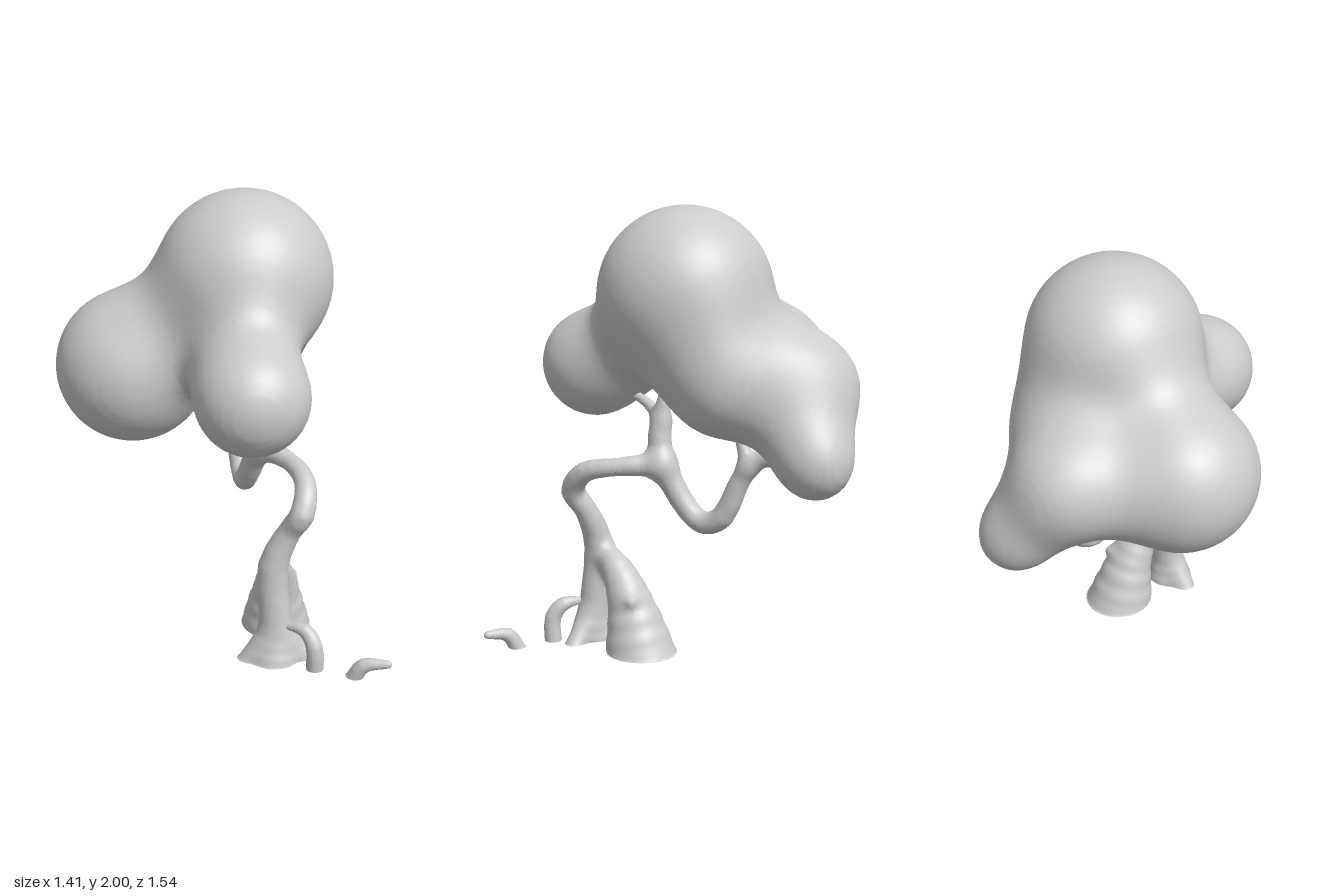
import * as THREE from 'three';

// A path is a list of [x, y, z, radius]; it is rounded into short tapered segments.
// A lone point is a ball.
function toCones(path) {
  if (path.length === 1) return [[path[0], path[0]]];
  const curve = new THREE.CatmullRomCurve3(path.map((p) => new THREE.Vector3(p[0], p[1], p[2])));
  const spans = path.length - 1, total = spans * 3;
  const points = Array.from({ length: total + 1 }, (_, i) => {
    const s = Math.min(spans - 1, Math.floor(i / 3));
    const radius = THREE.MathUtils.lerp(path[s][3], path[s + 1][3], i / 3 - s);
    return [...curve.getPoint(i / total).toArray(), radius];
  });
  return points.slice(1).map((p, i) => [points[i], p]);
}

// Distance to a tapered, round-ended segment
function coneDistance([a, b], x, y, z) {
  const dx = b[0] - a[0], dy = b[1] - a[1], dz = b[2] - a[2];
  const px = x - a[0], py = y - a[1], pz = z - a[2];
  const len = dx * dx + dy * dy + dz * dz;
  const t = len ? Math.min(1, Math.max(0, (px * dx + py * dy + pz * dz) / len)) : 0;
  const qx = px - dx * t, qy = py - dy * t, qz = pz - dz * t;
  return Math.sqrt(qx * qx + qy * qy + qz * qz) - (a[3] + (b[3] - a[3]) * t);
}

// Melts all the paths into one smooth skin, left open where it meets the ground
function meltedGeometry(paths, blend, step) {
  const limbs = paths.map(toCones), pts = limbs.flat(2);
  const field = (x, y, z) => {
    let d = 10;
    for (const limb of limbs) {
      let e = 10;
      for (const cone of limb) e = Math.min(e, coneDistance(cone, x, y, z));
      const h = Math.max(0, blend - Math.abs(d - e)) / blend;
      d = Math.min(d, e) - h * h * blend / 4;
    }
    return d;
  };
  // sampling grid
  const axes = [0, 1, 2];
  const margin = blend / 2 + 2 * step;
  const lo = axes.map((k) => Math.min(...pts.map((p) => p[k] - p[3])) - margin);
  const hi = axes.map((k) => Math.max(...pts.map((p) => p[k] + p[3])) + margin);
  lo[1] = Math.max(lo[1], -step);
  const n = lo.map((v, k) => Math.ceil((hi[k] - v) / step) + 1);
  const stride = [1, n[0], n[0] * n[1]];
  const values = new Float32Array(n[0] * n[1] * n[2]);
  const eachNode = (visit) => {
    for (let k = 0, id = 0; k < n[2]; k++)
      for (let j = 0; j < n[1]; j++)
        for (let i = 0; i < n[0]; i++, id++) visit([i, j, k], id);
  };
  eachNode((g, id) => {
    values[id] = field(lo[0] + g[0] * step, lo[1] + g[1] * step, lo[2] + g[2] * step);
  });

  // one vertex in every cell that the skin crosses
  const position = [], index = [], cellVertex = new Int32Array(values.length).fill(-1);
  const corners = Array.from({ length: 8 }, (_, c) => [c & 1, (c >> 1) & 1, c >> 2]);
  const offsets = corners.map((w) => w.reduce((s, v, k) => s + v * stride[k], 0));
  eachNode((g, id) => {
    if (g.some((v, k) => v >= n[k] - 1)) return;
    const sum = [0, 0, 0];
    let count = 0;
    for (let c = 0; c < 8; c++)
      for (let k = 0; k < 3; k++) {
        const d = c | (1 << k);
        if (d === c) continue;
        const u = values[id + offsets[c]], v = values[id + offsets[d]];
        if ((u < 0) === (v < 0)) continue;
        corners[c].forEach((w, m) => { sum[m] += w + (m === k ? u / (u - v) : 0); });
        count++;
      }
    if (!count) return;
    cellVertex[id] = position.length / 3;
    const p = sum.map((s, k) => lo[k] + (g[k] + s / count) * step);
    position.push(p[0], Math.max(0, p[1]), p[2]);
  });

  // one quad around every grid edge that the skin crosses
  eachNode((g, id) => {
    for (let a = 0; a < 3; a++) {
      const b = (a + 1) % 3, c = (a + 2) % 3;
      if (g[a] >= n[a] - 1 || g[b] < 1 || g[c] < 1) continue;
      const inside = values[id] < 0;
      if (inside === (values[id + stride[a]] < 0)) continue;
      const q = [id - stride[b] - stride[c], id - stride[c], id, id - stride[b]].map((v) => cellVertex[v]);
      if (q.some((v) => v < 0)) continue;
      if (!inside) q.reverse();
      index.push(q[0], q[1], q[2], q[0], q[2], q[3]);
    }
  });
  const geometry = new THREE.BufferGeometry();
  geometry.setAttribute('position', new THREE.Float32BufferAttribute(position, 3));
  geometry.setIndex(index);
  geometry.computeVertexNormals();
  return geometry;
}

export function createModel() {
  const tree = new THREE.Group();
  tree.name = 'tree';
  const material = new THREE.MeshStandardMaterial({ color: 0xcccccc, side: THREE.DoubleSide });
  const add = (name, paths, blend, step) => {
    const mesh = new THREE.Mesh(meltedGeometry(paths, blend, step), material);
    mesh.name = name;
    tree.add(mesh);
  };

  // Foliage: six balls melted together
  const balls = [
    [0.115, 1.615, 0.012, 0.385], [-0.37, 1.21, -0.04, 0.338], [0.11, 1.265, 0.525, 0.243],
    [0.165, 1.255, -0.235, 0.225], [-0.12, 1.215, -0.46, 0.232], [0.045, 0.935, -0.62, 0.15],
  ];
  add('foliage', balls.map((ball) => [ball]), 0.27, 0.025);

  // Bent trunk, from the front root to the fork
  const fork = [0.18, 0.86, 0.1, 0.055];
  const stem = [
    [0.22, -0.06, 0.47, 0.12], [0.23, 0.12, 0.455, 0.075], [0.215, 0.44, 0.44, 0.066],
    [0.285, 0.62, 0.455, 0.05], [0.33, 0.71, 0.488, 0.054], [0.352, 0.815, 0.4, 0.046],
    [0.3, 0.85, 0.25, 0.04], fork,
  ];
  // Toes spread to both sides of the front root
  const toes = [-1, 1].map((s) =>
    [[0.23 + s * 0.03, 0.12, 0.46, 0.04], [0.235 + s * 0.135, -0.02, 0.465, 0.045]]);
  // Flared back root with a spur
  const backRoot = [
    [0.22, 0.42, 0.4, 0.04], [0.24, 0.35, 0.31, 0.07], [0.25, 0.2, 0.225, 0.105], [0.26, -0.06, 0.155, 0.17],
  ];
  const spur = [[0.28, 0.24, 0.22, 0.05], [0.33, 0.25, 0.16, 0.018]];
  // Upright branch with its curved side twig
  const upright = [fork, [0.165, 0.99, 0.12, 0.052], [0.15, 1.19, 0.1, 0.024]];
  const sideTwig = [[0.15, 1.05, 0.12, 0.03], [0.12, 1.11, 0.22, 0.024], [0.1, 1.14, 0.32, 0.02]];
  // Branch that hangs, then climbs to the small ball
  const hanging = [
    fork, [0.135, 0.655, -0.02, 0.05], [0.13, 0.613, -0.1, 0.05], [0.12, 0.655, -0.19, 0.05],
    [0.09, 0.86, -0.285, 0.043], [0.07, 0.93, -0.37, 0.037], [0.05, 0.935, -0.5, 0.04],
  ];
  const hangingTwig = [[0.09, 0.89, -0.3, 0.03], [0.09, 1.08, -0.24, 0.024]];
  add('trunk', [stem, ...toes, backRoot, spur, upright, sideTwig, hanging, hangingTwig], 0.05, 0.014);

  // Curled shoot on the front root
  const shoot = [
    [0.26, 0.175, 0.49, 0.014], [0.35, 0.17, 0.54, 0.032], [0.385, 0.11, 0.575, 0.037],
    [0.39, -0.04, 0.57, 0.04],
  ];
  add('curledShoot', [shoot], 0.02, 0.009);

  // Loose twig rising from the ground
  const twig = [[0.545, -0.03, 0.64, 0.038], [0.59, 0.062, 0.665, 0.032], [0.69, 0.084, 0.698, 0.018]];
  add('groundTwig', [twig], 0.02, 0.008);

  return tree;
}
